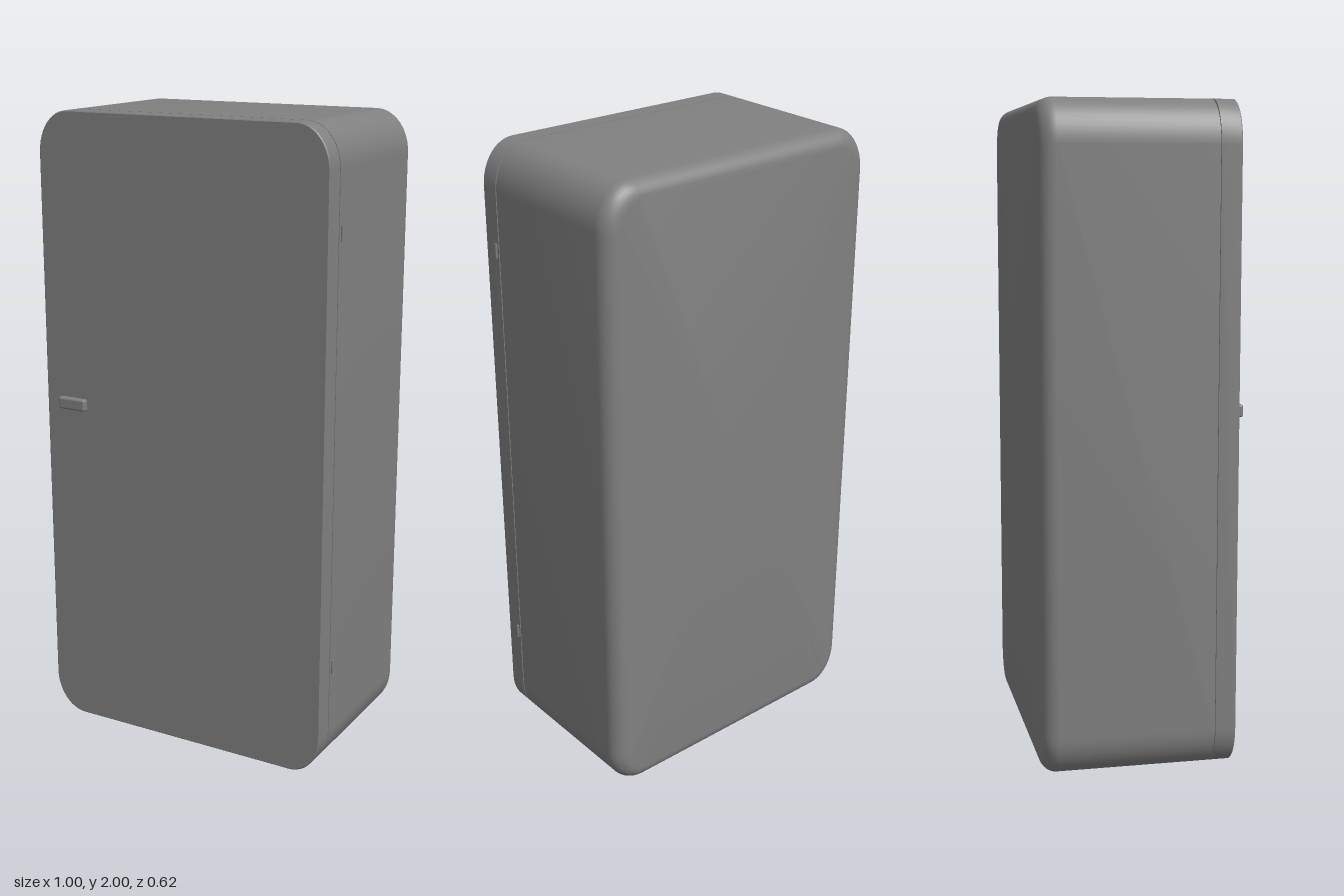
import * as THREE from 'three';
import { toCreasedNormals } from 'three/addons/utils/BufferGeometryUtils.js';
import { RoundedBoxGeometry } from 'three/addons/geometries/RoundedBoxGeometry.js';

const CX = -0.0075, CY = 1, HALF_W = 0.4925, HALF_H = 1;
const RX = 0.105, RY = 0.13, STEPS = 12;

// Rounded rectangle outline, counter-clockwise seen from the front
function outline(inset) {
  const rx = RX - inset * 0.7, ry = RY - inset * 0.7;
  const w = HALF_W - inset, h = HALF_H - inset;
  const points = [];
  [[1, 1], [-1, 1], [-1, -1], [1, -1]].forEach(([sx, sy], corner) => {
    for (let i = 0; i <= STEPS; i++) {
      const a = (corner + i / STEPS) * Math.PI / 2;
      points.push([CX + sx * (w - rx) + rx * Math.cos(a), CY + sy * (h - ry) + ry * Math.sin(a)]);
    }
  });
  return points;
}

// Closed shell through [z, inset] sections, listed from back to front
function shell(sections) {
  const positions = [], index = [];
  const n = 4 * (STEPS + 1), last = sections.length - 1;
  sections.forEach(([z, inset]) => outline(inset).forEach(([x, y]) => positions.push(x, y, z)));
  for (let s = 0; s < last; s++) {
    for (let i = 0; i < n; i++) {
      const a = s * n + i, b = s * n + (i + 1) % n;
      index.push(a, b, b + n, a, b + n, a + n);
    }
  }
  const back = positions.length / 3, front = back + 1;
  positions.push(CX, CY, sections[0][0], CX, CY, sections[last][0]);
  for (let i = 0; i < n; i++) {
    const j = (i + 1) % n;
    index.push(back, j, i, front, last * n + i, last * n + j);
  }
  const geometry = new THREE.BufferGeometry();
  geometry.setAttribute('position', new THREE.Float32BufferAttribute(positions, 3));
  geometry.setIndex(index);
  return toCreasedNormals(geometry, Math.PI / 5);
}

export function createModel() {
  const group = new THREE.Group();
  const grey = new THREE.MeshStandardMaterial({ color: 0x808080 });
  grey.name = 'grey enamel';

  function add(name, geometry, x = 0, y = 0, z = 0) {
    const mesh = new THREE.Mesh(geometry, grey);
    mesh.name = name;
    mesh.position.set(x, y, z);
    group.add(mesh);
  }

  // Cabinet with softly rounded back edges
  const backRadius = 0.05, sections = [];
  for (let i = 0; i <= 8; i++) {
    const a = i / 8 * Math.PI / 2;
    sections.push([-0.308 + backRadius * (1 - Math.cos(a)), backRadius * (1 - Math.sin(a))]);
  }
  sections.push([0.212, 0]);
  add('cabinet', shell(sections));

  // Recessed seal between cabinet and door
  add('doorSeal', shell([[0.205, 0.006], [0.222, 0.006]]));

  // Flat door with a fine edge
  add('door', shell([[0.216, 0], [0.276, 0], [0.279, 0.003]]));

  // Handle near the opening side
  add('handle', new RoundedBoxGeometry(0.098, 0.038, 0.024, 3, 0.007), -0.39, 1.09, 0.297);

  // Hinge pins on the other side
  for (const [name, y] of [['upperHinge', 1.69], ['lowerHinge', 0.352]]) {
    add(name, new THREE.CylinderGeometry(0.004, 0.004, 0.044, 12), 0.495, y, 0.214);
  }
  return group;
}
